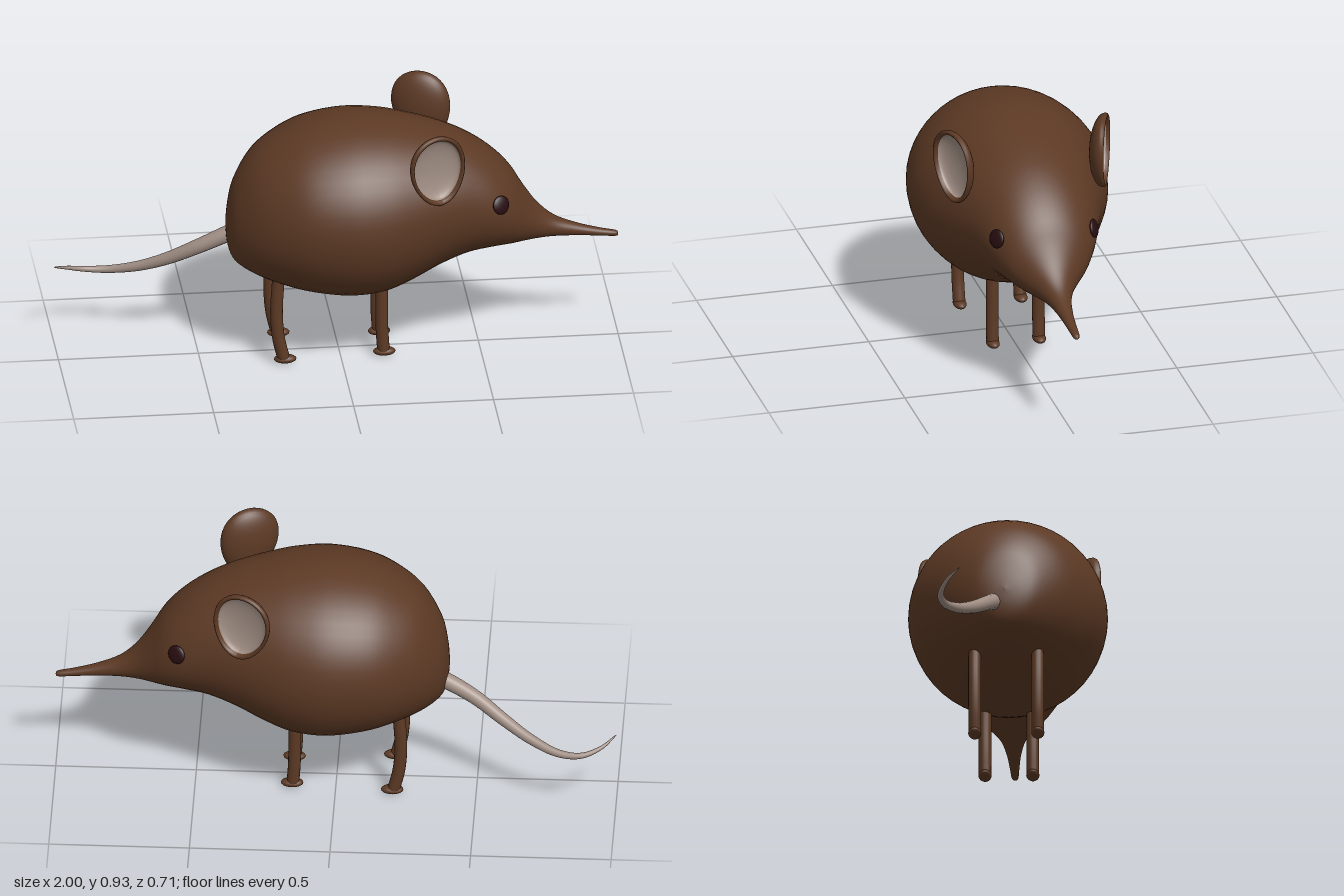
import * as THREE from 'three';

const brown = new THREE.MeshStandardMaterial({ color: 0x5c3924, name: 'brown fur' });
const pale = new THREE.MeshStandardMaterial({ color: 0x9f8d83, name: 'pale skin' });
const dark = new THREE.MeshStandardMaterial({ color: 0x280d10, name: 'dark eye' });

function add(parent, name, geometry, material) {
  const mesh = new THREE.Mesh(geometry, material);
  mesh.name = name;
  parent.add(mesh);
  return mesh;
}

// Body stations from rump to snout tip: x, top y, bottom y, half width
const stations = [
  [-0.402, 0.49, 0.49, 0], [-0.395, 0.565, 0.42, 0.065], [-0.37, 0.67, 0.365, 0.13],
  [-0.3, 0.78, 0.32, 0.22], [-0.2, 0.85, 0.282, 0.295], [-0.1, 0.888, 0.255, 0.337],
  [0.03, 0.907, 0.237, 0.355], [0.15, 0.9, 0.247, 0.34], [0.25, 0.88, 0.285, 0.308],
  [0.35, 0.852, 0.335, 0.268], [0.45, 0.81, 0.372, 0.228], [0.54, 0.75, 0.386, 0.193],
  [0.61, 0.68, 0.391, 0.153], [0.66, 0.6, 0.395, 0.108], [0.71, 0.53, 0.398, 0.068],
  [0.77, 0.477, 0.4, 0.041], [0.85, 0.443, 0.397, 0.025], [0.93, 0.42, 0.391, 0.017],
  [0.99, 0.407, 0.386, 0.012], [1.0, 0.397, 0.393, 0.003],
];

// Smooth loft of elliptical rings through the stations
function bodyGeometry(sub = 4, sides = 48) {
  const positions = [], index = [];
  const last = stations.length - 1, rings = last * sub;
  const at = (i) => stations[Math.min(Math.max(i, 0), last)];
  for (let r = 0; r <= rings; r++) {
    const i = Math.floor(r / sub), t = r / sub - i;
    const [x, top, bottom, half] = [0, 1, 2, 3].map((k) => {
      const a = at(i - 1)[k], b = at(i)[k], c = at(i + 1)[k], d = at(i + 2)[k];
      return b + 0.5 * t * (c - a + t * (2 * a - 5 * b + 4 * c - d + t * (3 * (b - c) + d - a)));
    });
    for (let j = 0; j < sides; j++) {
      const a = (j / sides) * Math.PI * 2;
      positions.push(x, (top + bottom) / 2 + Math.cos(a) * (top - bottom) / 2, Math.sin(a) * half);
      if (r === rings) continue;
      const p = r * sides + j, q = r * sides + (j + 1) % sides;
      index.push(p, q, p + sides, q, q + sides, p + sides);
    }
  }
  const g = new THREE.BufferGeometry();
  g.setAttribute('position', new THREE.Float32BufferAttribute(positions, 3));
  g.setIndex(index);
  g.computeVertexNormals();
  return g;
}

// Tube whose radius follows a rule along its length
function taperedTube(points, radius, segments = 40, sides = 16) {
  const curve = new THREE.CatmullRomCurve3(points.map((p) => new THREE.Vector3(...p)));
  const g = new THREE.TubeGeometry(curve, segments, 1, sides);
  const pos = g.attributes.position, v = new THREE.Vector3();
  for (let i = 0; i < pos.count; i++) {
    const t = Math.floor(i / (sides + 1)) / segments;
    const c = curve.getPointAt(t);
    v.fromBufferAttribute(pos, i).sub(c).multiplyScalar(radius(t)).add(c);
    pos.setXYZ(i, v.x, v.y, v.z);
  }
  return g;
}

// Egg-shaped bowl, opening along +y, narrower towards +z
function earBowl(profile) {
  const g = new THREE.LatheGeometry(profile.map((p) => new THREE.Vector2(...p)), 40);
  const pos = g.attributes.position;
  for (let i = 0; i < pos.count; i++) {
    const z = pos.getZ(i);
    pos.setX(i, pos.getX(i) * 0.107 * (1 - 0.14 * z));
    pos.setZ(i, z * 0.135);
  }
  g.computeVertexNormals();
  return g;
}

// Turns an object so that its +y points along the normal
function faceAlong(object, normal, roll) {
  const n = new THREE.Vector3(...normal).normalize();
  const x = new THREE.Vector3(0, 1, 0).cross(n).normalize();
  const z = new THREE.Vector3().crossVectors(x, n);
  object.quaternion.setFromRotationMatrix(new THREE.Matrix4().makeBasis(x, n, z));
  object.rotateY(roll);
}

function createSide() {
  const side = new THREE.Group();

  // Ear: brown outer bowl with rolled rim, pale hollow inside
  const ear = new THREE.Group();
  ear.name = 'ear';
  const outer = [];
  for (let i = 0; i <= 10; i++) {
    const a = (i / 10) * Math.PI / 2;
    outer.push([Math.sin(a), -0.052 * Math.cos(a)]);
  }
  outer.push([0.985, 0.007], [0.94, 0.01], [0.89, 0.006], [0.86, -0.004]);
  const inner = [];
  for (let i = 10; i >= 0; i--) {
    const a = (i / 10) * Math.PI / 2;
    inner.push([0.86 * Math.sin(a), -0.004 - 0.03 * Math.cos(a)]);
  }
  add(ear, 'earShell', earBowl(outer), brown);
  add(ear, 'earInside', earBowl(inner), pale);
  ear.position.set(0.327, 0.8, 0.278);
  faceAlong(ear, [0.37, 0, 0.93], 0.13);
  side.add(ear);

  // Eye: flattened bead
  const eye = add(side, 'eye', new THREE.SphereGeometry(0.034, 24, 16), dark);
  eye.scale.y = 0.32;
  eye.position.set(0.562, 0.61, 0.179);
  faceAlong(eye, [0.5, 0.25, 0.85], 0);

  // Legs with rounded tops and small forward feet
  const legRadius = (t) => 0.0225 * Math.sqrt(Math.max(0, 1 - Math.max(0, 1 - t / 0.08) ** 2));
  const legs = [
    ['hindLeg', [[-0.226, 0.335], [-0.233, 0.2], [-0.226, 0.1], [-0.208, 0.02]], 0.112, -0.202],
    ['foreLeg', [[0.145, 0.29], [0.146, 0.2], [0.147, 0.1], [0.152, 0.02]], 0.085, 0.155],
  ];
  for (const [name, path, z, footX] of legs) {
    add(side, name, taperedTube(path.map(([x, y]) => [x, y, z]), legRadius), brown);
    const foot = add(side, name + 'Foot', new THREE.SphereGeometry(1, 20, 12), brown);
    foot.scale.set(0.04, 0.016, 0.0235);
    foot.position.set(footX, 0.016, z);
  }
  return side;
}

export function createModel() {
  const model = new THREE.Group();
  model.name = 'shrew';
  add(model, 'body', bodyGeometry(), brown);

  // Tail: sweeps back, down and to one side
  add(model, 'tail', taperedTube([
    [-0.35, 0.462, -0.042], [-0.42, 0.428, -0.05], [-0.5, 0.385, -0.068], [-0.6, 0.325, -0.112],
    [-0.7, 0.277, -0.162], [-0.8, 0.25, -0.205], [-0.88, 0.25, -0.215], [-0.95, 0.27, -0.19],
    [-1, 0.295, -0.145],
  ], (t) => 0.03 * (1 - t) ** 0.7 + 0.001, 60), pale);

  // Ears, eyes and legs, mirrored across the body
  const near = createSide();
  near.name = 'nearSide';
  const far = createSide();
  far.name = 'farSide';
  far.scale.z = -1;
  model.add(near, far);
  return model;
}
